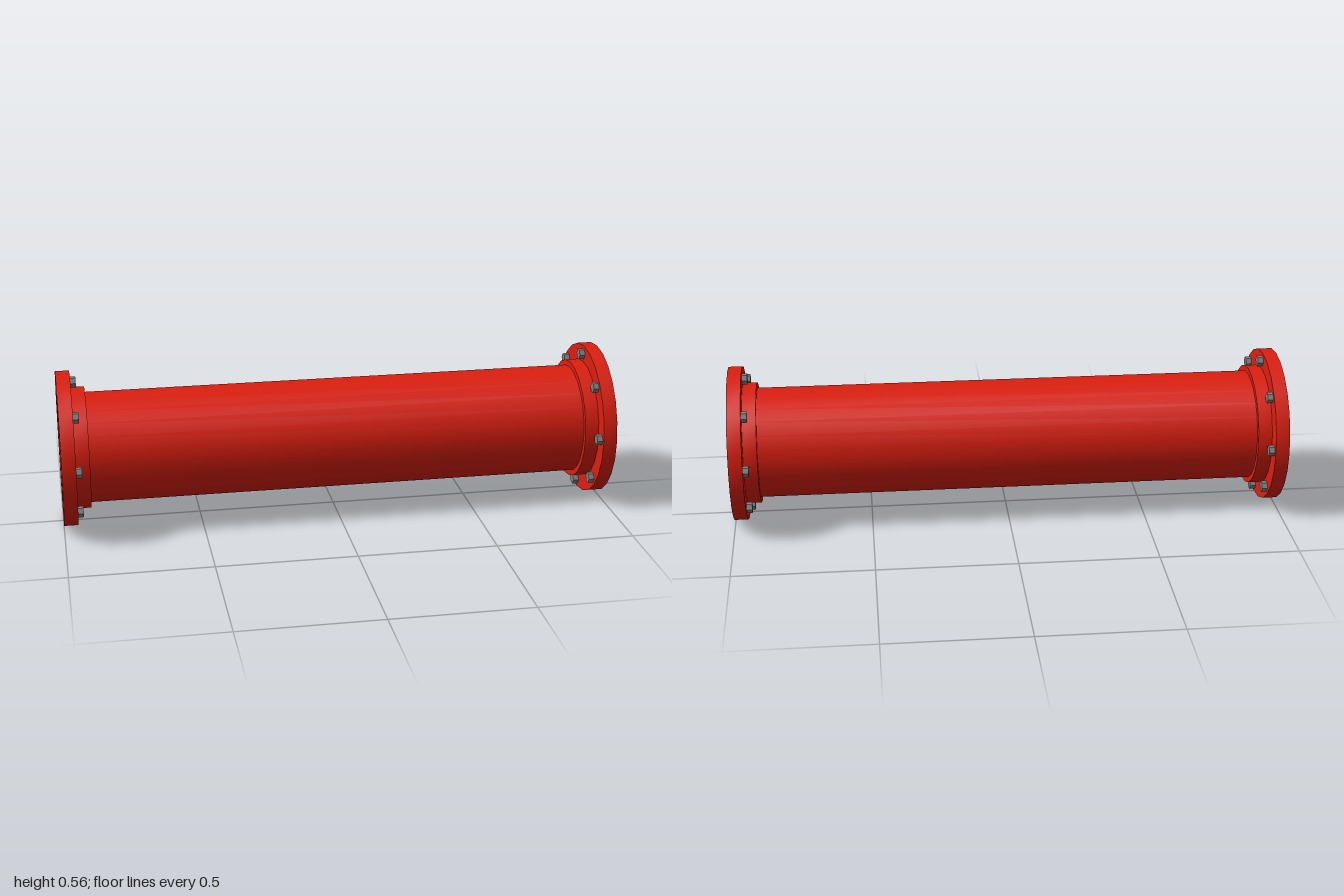
import * as THREE from 'three';
import { toCreasedNormals } from 'three/addons/utils/BufferGeometryUtils.js';

const SIDES = 24;
const BORE = 0.2;
const AXIS_HEIGHT = 0.28;
const BOLTS = 8;

export function createModel() {
  const model = new THREE.Group();
  model.name = 'flangedPipe';

  const red = new THREE.MeshStandardMaterial({ color: 0xdd1f10, side: THREE.DoubleSide });
  const steel = new THREE.MeshStandardMaterial({ color: 0x808080 });

  // Thin open pipe wall, running the full length
  const pipe = new THREE.Mesh(new THREE.CylinderGeometry(BORE, BORE, 2, SIDES, 1, true), red);
  pipe.name = 'pipe';
  pipe.rotation.z = -Math.PI / 2;
  pipe.position.y = AXIS_HEIGHT;
  model.add(pipe);

  // Stepped profile: collar, then the wider flange disc
  const profile = [
    [BORE, 0.9], [0.22, 0.9], [0.22, 0.95], [0.28, 0.95], [0.28, 1], [BORE, 1],
  ].map(([r, h]) => new THREE.Vector2(r, h));
  const flangeGeometry = toCreasedNormals(new THREE.LatheGeometry(profile, SIDES), 0.6);

  // Hexagonal bolt heads on the inner face of the flange
  const boltGeometry = toCreasedNormals(new THREE.CylinderGeometry(0.02, 0.02, 0.03, 6), 0.6);

  for (const side of [1, -1]) {
    const end = new THREE.Group();
    end.name = side > 0 ? 'leftEnd' : 'rightEnd';
    end.rotation.z = -side * Math.PI / 2;
    end.position.y = AXIS_HEIGHT;

    const flange = new THREE.Mesh(flangeGeometry, red);
    flange.name = 'flange';
    end.add(flange);

    for (let i = 0; i < BOLTS; i++) {
      const a = (i / BOLTS) * Math.PI * 2;
      const bolt = new THREE.Mesh(boltGeometry, steel);
      bolt.name = 'bolt';
      bolt.position.set(0.25 * Math.sin(a), 0.945, 0.25 * Math.cos(a));
      end.add(bolt);
    }
    model.add(end);
  }
  return model;
}
